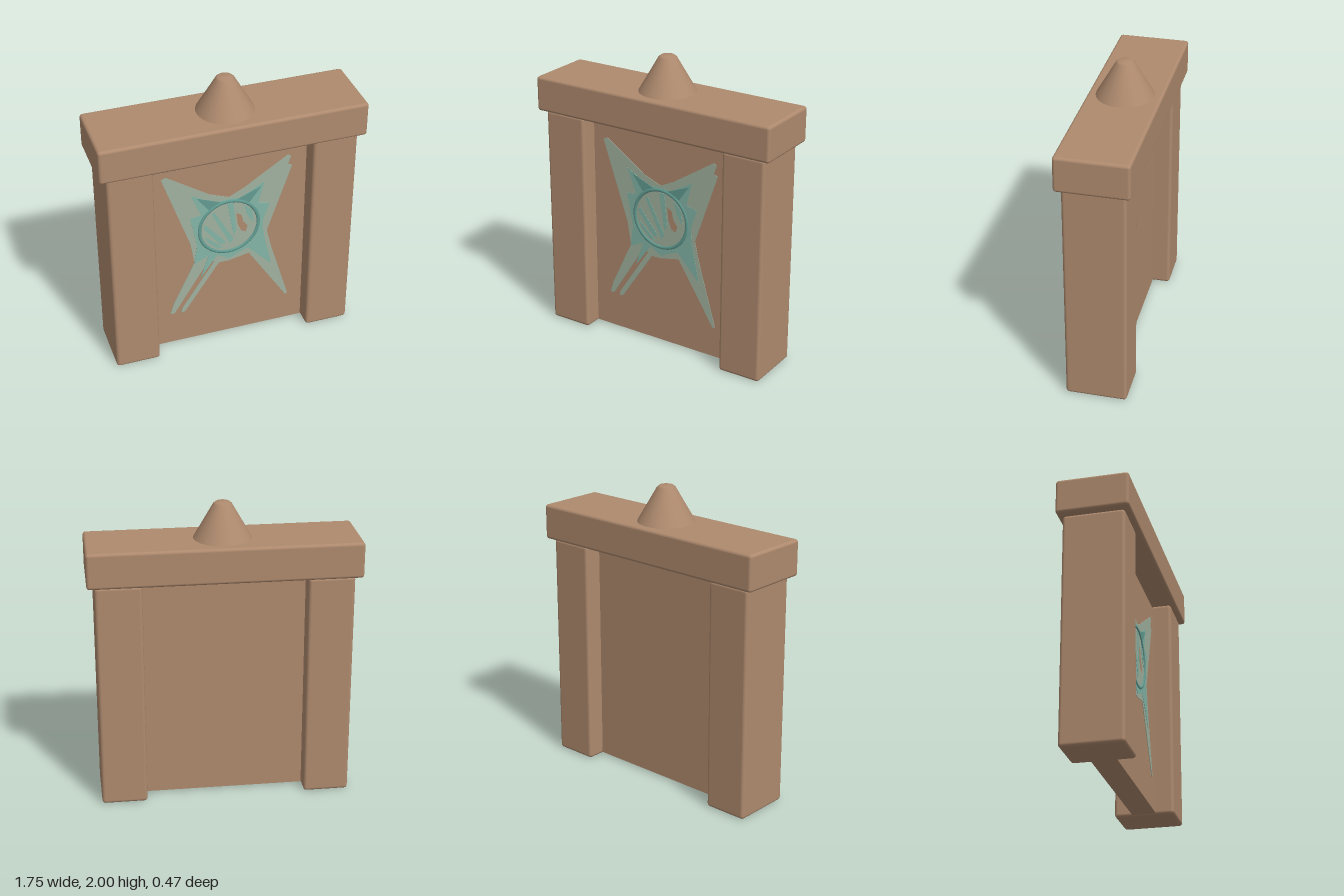
import * as THREE from 'three';
import { RoundedBoxGeometry } from 'three/addons/geometries/RoundedBoxGeometry.js';

const material = (name, color) => {
  const m = new THREE.MeshStandardMaterial({ color });
  m.name = name;
  return m;
};

const outline = (points) => new THREE.Shape(points.map(([x, y]) => new THREE.Vector2(x, y)));

export function createModel() {
  const stone = material('warm stone', 0xae8a6e);
  const paleTeal = material('pale teal', 0xa0b29f);
  const teal = material('teal', 0x82b5a6);
  const deepTeal = material('deep teal', 0x629c92);

  const model = new THREE.Group();
  model.name = 'stoneGate';

  const add = (name, geometry, mat, x = 0, y = 0, z = 0, parent = model) => {
    const mesh = new THREE.Mesh(geometry, mat);
    mesh.name = name;
    mesh.position.set(x, y, z);
    parent.add(mesh);
    return mesh;
  };

  // Pillars, lintel and the recessed door slab
  for (const side of [-1, 1]) {
    add(side > 0 ? 'leftPillar' : 'rightPillar',
      new RoundedBoxGeometry(0.3, 1.53, 0.4, 3, 0.022), stone, side * 0.677, 0.765, 0);
  }
  add('lintel', new RoundedBoxGeometry(1.75, 0.235, 0.47, 3, 0.02), stone, 0, 1.647, 0);
  add('doorSlab', new THREE.BoxGeometry(1.07, 1.485, 0.16), stone, 0, 0.7525, 0);

  // Blunt cone on top
  const coneProfile = [[0.19, 1.755], [0.185, 1.768], [0.12, 1.88], [0.06, 1.985], [0.045, 1.998], [0, 2]];
  add('finial', new THREE.LatheGeometry(
    coneProfile.map(([r, y]) => new THREE.Vector2(r, y)), 32), stone);

  // Painted emblem on the front of the slab
  const emblem = new THREE.Group();
  emblem.name = 'emblem';
  emblem.position.z = 0.08;
  model.add(emblem);
  const plate = (name, shape, mat, z) => add(name,
    new THREE.ExtrudeGeometry(shape, { depth: 0.003, bevelEnabled: false, curveSegments: 32 }),
    mat, 0, 0, z, emblem);

  const cy = 0.905;
  const circle = (r) => new THREE.Path().absarc(0, cy, r, 0, Math.PI * 2, true);

  // Long four-armed star with a drop-shaped opening
  const star = outline([
    [-0.45, 1.37], [-0.42, 1.385], [-0.13, 1.19], [0, 1.14], [0.1, 1.19], [0.4, 1.385],
    [0.42, 1.37], [0.4, 1.31], [0.43, 1.3], [0.265, 0.81], [0.3, 0.66], [0.425, 0.23],
    [0.41, 0.22], [0.14, 0.65], [0, 0.62], [-0.07, 0.62], [-0.31, 0.26], [-0.34, 0.25],
    [-0.33, 0.29], [-0.1, 0.64], [-0.15, 0.64], [-0.385, 0.26], [-0.415, 0.26], [-0.39, 0.34],
    [-0.24, 0.66], [-0.265, 0.82],
  ]);
  const drop = [[0.05, 1.0], [0.085, 0.98], [0.1, 0.92], [0.13, 0.88], [0.115, 0.835], [0.085, 0.85], [0.06, 0.91]];
  star.holes.push(outline(drop));
  plate('starArms', star, paleTeal, 0);

  // Short spikes around the ring
  const spikes = outline([
    [-0.26, 1.21], [-0.1, 1.12], [0, 1.125], [0.08, 1.12], [0.24, 1.21], [0.2, 1.05],
    [0.28, 1.03], [0.235, 0.9], [0.24, 0.8], [0.3, 0.52], [0.13, 0.7], [0, 0.64],
    [-0.08, 0.69], [-0.2, 0.52], [-0.14, 0.7], [-0.24, 0.65], [-0.22, 0.8],
    [-0.24, 0.9], [-0.265, 1.03], [-0.19, 1.04],
  ]);
  spikes.holes.push(circle(0.2));
  plate('innerSpikes', spikes, teal, 0.002);

  // Darker corner shards over the upper spikes
  for (const s of [-1, 1]) {
    plate('cornerShard', outline(s > 0
      ? [[0.05, 1.11], [0.14, 1.07], [0.22, 1.18]]
      : [[-0.05, 1.11], [-0.22, 1.18], [-0.14, 1.07]]), deepTeal, 0.003);
  }

  // Shards inside the ring
  const shards = [
    [[-0.12, 1.03], [-0.1, 1.04], [0.03, 0.8], [0.01, 0.76]],
    [[-0.18, 0.93], [-0.16, 0.95], [-0.02, 0.78], [-0.06, 0.77]],
    [[-0.15, 0.81], [-0.17, 0.86], [-0.04, 0.74], [-0.09, 0.75]],
    [[-0.01, 1.09], [0.03, 1.09], [0.05, 0.86], [0.03, 0.83]],
    [[0.1, 1.06], [0.16, 1.0], [0.17, 0.9], [0.13, 0.96]],
  ];
  shards.forEach((points) => plate('ringShard', outline(points), teal, 0.002));

  // Slightly raised ring
  const ring = add('ring', new THREE.TorusGeometry(0.203, 0.012, 10, 48), deepTeal, 0, cy, 0.004, emblem);
  ring.scale.z = 0.6;

  return model;
}
